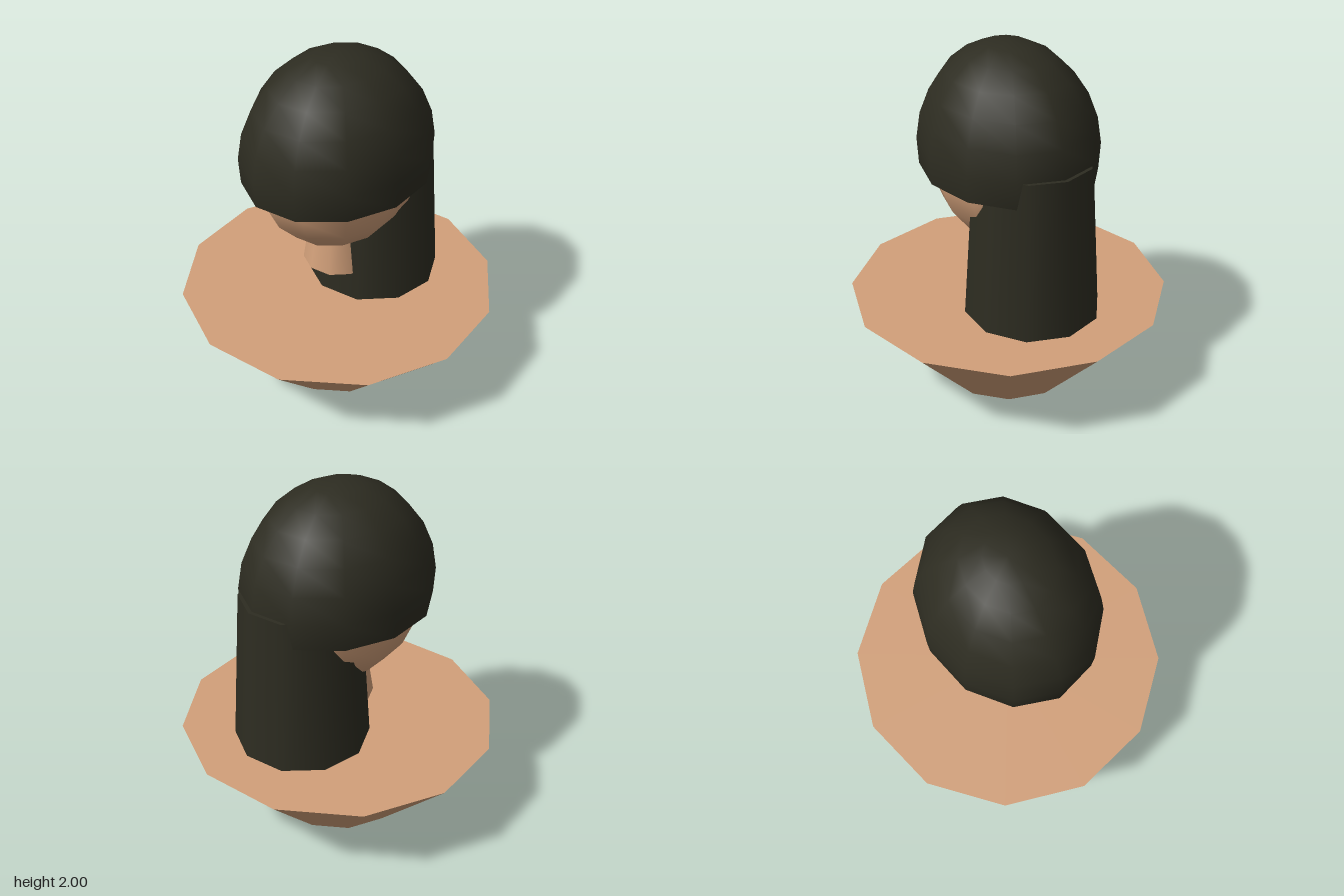
import * as THREE from 'three';

export function createModel() {
  const group = new THREE.Group();
  const skin = new THREE.MeshStandardMaterial({ color: 0xd2a07a });
  skin.name = 'skin';
  const hair = new THREE.MeshStandardMaterial({ color: 0x2d2c21, side: THREE.DoubleSide });
  hair.name = 'dark hair';

  const add = (name, geometry, material, y, z = 0) => {
    const mesh = new THREE.Mesh(geometry, material);
    mesh.name = name;
    mesh.position.set(0, y, z);
    group.add(mesh);
  };
  // Tapered tube standing between two heights
  const taper = (name, rTop, rBottom, y0, y1, sides, material, z) =>
    add(name, new THREE.CylinderGeometry(rTop, rBottom, y1 - y0, sides), material, (y0 + y1) / 2, z);

  // Shoulders: inverted cone frustum
  taper('shoulders', 0.905, 0.41, 0, 0.53, 12, skin);

  // Short neck, ending above the shoulders
  taper('neck', 0.165, 0.198, 0.7, 0.92, 10, skin);

  // Egg-shaped head and the hair cap sharing its centre
  const headY = 1.4;
  add('head', new THREE.SphereGeometry(1, 12, 10).scale(0.43, 0.54, 0.508), skin, headY);
  const cap = new THREE.SphereGeometry(1, 12, 7, 0, Math.PI * 2, 0, 1.767);
  add('hairCap', cap.scale(0.478, 0.6, 0.566), hair, headY);

  // Long hair falling down the back
  taper('backHair', 0.325, 0.388, 0.45, 1.43, 10, hair, -0.262);

  return group;
}
